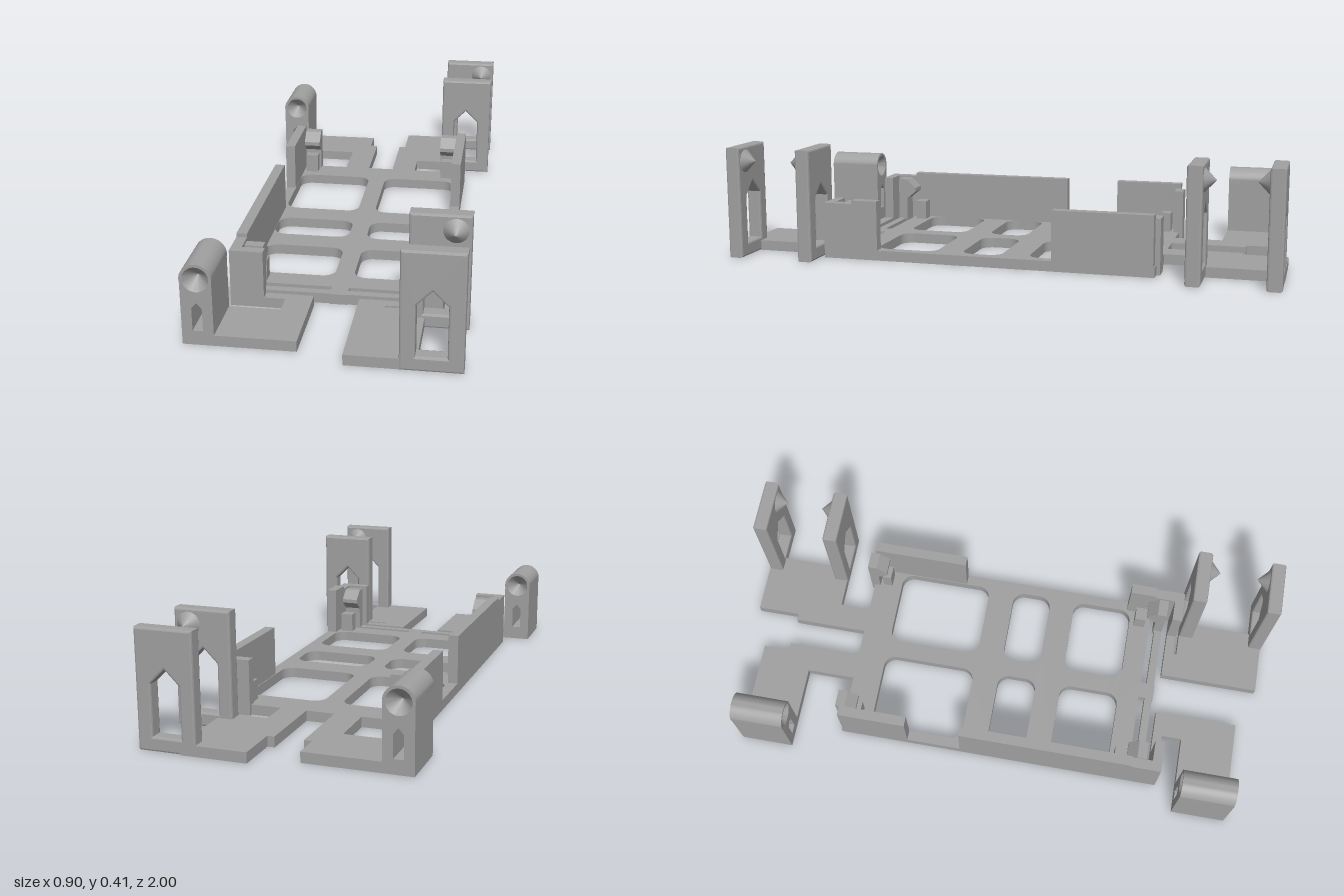
import * as THREE from 'three';
import { toCreasedNormals } from 'three/addons/utils/BufferGeometryUtils.js';

const T = 0.037; // floor thickness

export function createModel() {
  const model = new THREE.Group();
  model.name = 'mountingTray';
  const grey = new THREE.MeshStandardMaterial({ color: 0xa0a0a0 });
  grey.name = 'grey';

  const add = (name, geo, parent = model) => {
    const mesh = new THREE.Mesh(geo, grey);
    mesh.name = name;
    parent.add(mesh);
    return mesh;
  };
  const poly = (pts) => new THREE.Shape(pts.map(([x, y]) => new THREE.Vector2(x, y)));
  const box = (name, x0, x1, y0, y1, z0, z1) => {
    const g = new THREE.BoxGeometry(x1 - x0, y1 - y0, z1 - z0);
    g.translate((x0 + x1) / 2, (y0 + y1) / 2, (z0 + z1) / 2);
    return add(name, g);
  };
  // Flat slab from a plan outline whose second coordinate is -z
  const slab = (name, shape) => {
    const g = new THREE.ExtrudeGeometry(shape, { depth: T, bevelEnabled: false, curveSegments: 6 });
    g.rotateX(-Math.PI / 2);
    return add(name, g);
  };
  const plan = (pts) => poly(pts.map(([x, z]) => [x, -z]));
  const roundedHole = (x0, x1, z0, z1, r) => {
    const p = new THREE.Path();
    p.absarc(x1 - r, -z0 - r, r, 0, Math.PI / 2);
    p.absarc(x0 + r, -z0 - r, r, Math.PI / 2, Math.PI);
    p.absarc(x0 + r, -z1 + r, r, Math.PI, Math.PI * 1.5);
    p.absarc(x1 - r, -z1 + r, r, Math.PI * 1.5, Math.PI * 2);
    p.closePath();
    return p;
  };
  const gable = (x, half, y0, y1, tip) =>
    poly([[x - half, y0], [x + half, y0], [x + half, y1], [x, tip], [x - half, y1]]);

  // Tray floor with six rounded openings
  const floor = plan([[-0.36, -0.565], [0.36, -0.565], [0.36, 0.55], [0.03, 0.55], [0.03, 0.605],
    [-0.03, 0.605], [-0.03, 0.55], [-0.36, 0.55]]);
  for (const [z0, z1] of [[-0.457, -0.103], [-0.003, 0.146], [0.242, 0.47]]) {
    floor.holes.push(roundedHole(-0.322, -0.035, z0, z1, 0.045));
    floor.holes.push(roundedHole(0.032, 0.32, z0, z1, 0.045));
  }
  slab('trayFloor', floor);

  // Side walls, broken by a gap on each side
  box('rightFrontWall', -0.36, -0.323, 0, 0.218, -0.1, 0.55);
  box('rightBackWall', -0.36, -0.323, 0, 0.218, -0.56, -0.305);
  box('leftBackWall', 0.323, 0.36, 0, 0.218, -0.56, -0.2);
  box('leftFrontWall', 0.323, 0.36, 0, 0.218, 0.453, 0.55);

  // Snap clip: sprung post with a hooked nose pointing inwards
  const clip = (name, x, z, front) => {
    const shape = poly([[0, 0], [0.035, 0], [0.035, 0.12], [0.072, 0.15], [0.072, 0.165],
      [0.035, 0.2], [0, 0.2]]);
    const g = new THREE.ExtrudeGeometry(shape, { depth: 0.064, bevelEnabled: false });
    g.translate(0, 0, -0.032);
    g.rotateY(front ? Math.PI / 2 : -Math.PI / 2);
    g.translate(x, 0, z);
    add(name, g);
  };
  for (const s of [-1, 1]) {
    const side = s < 0 ? 'right' : 'left';
    const span = (name, a, b, y0, y1, z0, z1) =>
      box(side + name, Math.min(s * a, s * b), Math.max(s * a, s * b), y0, y1, z0, z1);
    clip(side + 'BackClip', s * 0.288, -0.578, false);
    clip(side + 'FrontClip', s * 0.288, 0.602, true);
    span('BackStop', 0.262, 0.312, 0, 0.11, -0.53, -0.495);
    span('FrontStop', 0.262, 0.312, 0, 0.11, 0.487, 0.53);
    span('SpringArm', 0.02, 0.26, 0, T, 0.573, 0.602);
    // Corner bracket in front of the tray
    span('BracketSide', 0.323, 0.36, 0, 0.205, 0.545, 0.66);
    span('BracketEnd', 0.245, 0.36, 0, 0.205, 0.625, 0.66);
  }

  // Feet reaching out from the tray
  slab('rightFrontFoot', plan([[-0.36, 0.625], [-0.08, 0.625], [-0.08, 0.935], [-0.45, 0.935],
    [-0.45, 0.735], [-0.172, 0.735], [-0.172, 0.66], [-0.36, 0.66]]));
  slab('leftFrontFoot', plan([[0.075, 0.625], [0.36, 0.625], [0.36, 0.66], [0.17, 0.66], [0.17, 0.672],
    [0.305, 0.672], [0.305, 0.995], [0.075, 0.995]]));
  slab('rightBackFoot', plan([[-0.45, -0.94], [-0.08, -0.94], [-0.08, -0.84], [-0.052, -0.84],
    [-0.052, -0.56], [-0.15, -0.56], [-0.15, -0.745], [-0.45, -0.745]]));
  slab('leftBackFoot', plan([[0.075, -1], [0.305, -1], [0.305, -0.68], [0.145, -0.68],
    [0.145, -0.56], [0.05, -0.56], [0.05, -0.84], [0.075, -0.84]]));

  // Pivot posts: slotted pillar carrying a barrel with a conical socket at each end
  const post = (name, z0, z1) => {
    const group = new THREE.Group();
    group.name = name;
    group.position.set(-0.399, 0, z0);
    model.add(group);
    const len = z1 - z0, h = len / 2, cy = 0.231;
    const pillar = new THREE.Shape();
    pillar.moveTo(-0.052, 0);
    pillar.lineTo(0.052, 0);
    pillar.lineTo(0.052, cy);
    pillar.absarc(0, cy, 0.049, 0, -Math.PI, true);
    pillar.lineTo(-0.052, cy);
    pillar.holes.push(gable(0, 0.017, 0.05, 0.13, 0.15));
    add('pillar', new THREE.ExtrudeGeometry(pillar, { depth: len, bevelEnabled: false, curveSegments: 16 }), group);
    const profile = [[0, -h + 0.045], [0.043, -h], [0.053, -h], [0.053, h], [0.043, h], [0, h - 0.045]];
    let barrel = new THREE.LatheGeometry(profile.map(([r, y]) => new THREE.Vector2(r, y)), 40);
    barrel = toCreasedNormals(barrel, 0.5);
    barrel.rotateX(Math.PI / 2);
    barrel.translate(0, cy, h);
    add('barrel', barrel, group);
  };
  post('frontPivotPost', 0.735, 0.935);
  post('backPivotPost', -0.94, -0.745);

  // Tall windowed plates, in facing pairs with pointed studs
  const plate = (name, z0, z1, dir) => {
    const group = new THREE.Group();
    group.name = name;
    model.add(group);
    const b = 0.007;
    const shape = poly([[0.25, 0], [0.452, 0], [0.452, 0.408], [0.25, 0.408]]);
    shape.holes.push(gable(0.35, 0.05, 0.05, 0.225, 0.275));
    const g = new THREE.ExtrudeGeometry(shape, {
      depth: z1 - z0 - 2 * b, bevelEnabled: true, bevelSize: b, bevelThickness: b,
      bevelOffset: -b, bevelSegments: 2,
    });
    g.translate(0, 0, z0 + b);
    add('plate', g, group);
    const stud = new THREE.ConeGeometry(0.043, 0.042, 32);
    stud.rotateX(dir * Math.PI / 2);
    stud.translate(0.4, 0.355, (dir > 0 ? z1 : z0) + dir * 0.02);
    add('stud', stud, group);
  };
  plate('frontOuterPlate', 0.947, 1, -1);
  plate('frontInnerPlate', 0.672, 0.726, 1);
  plate('backInnerPlate', -0.732, -0.678, -1);
  plate('backOuterPlate', -1, -0.947, 1);

  return model;
}
